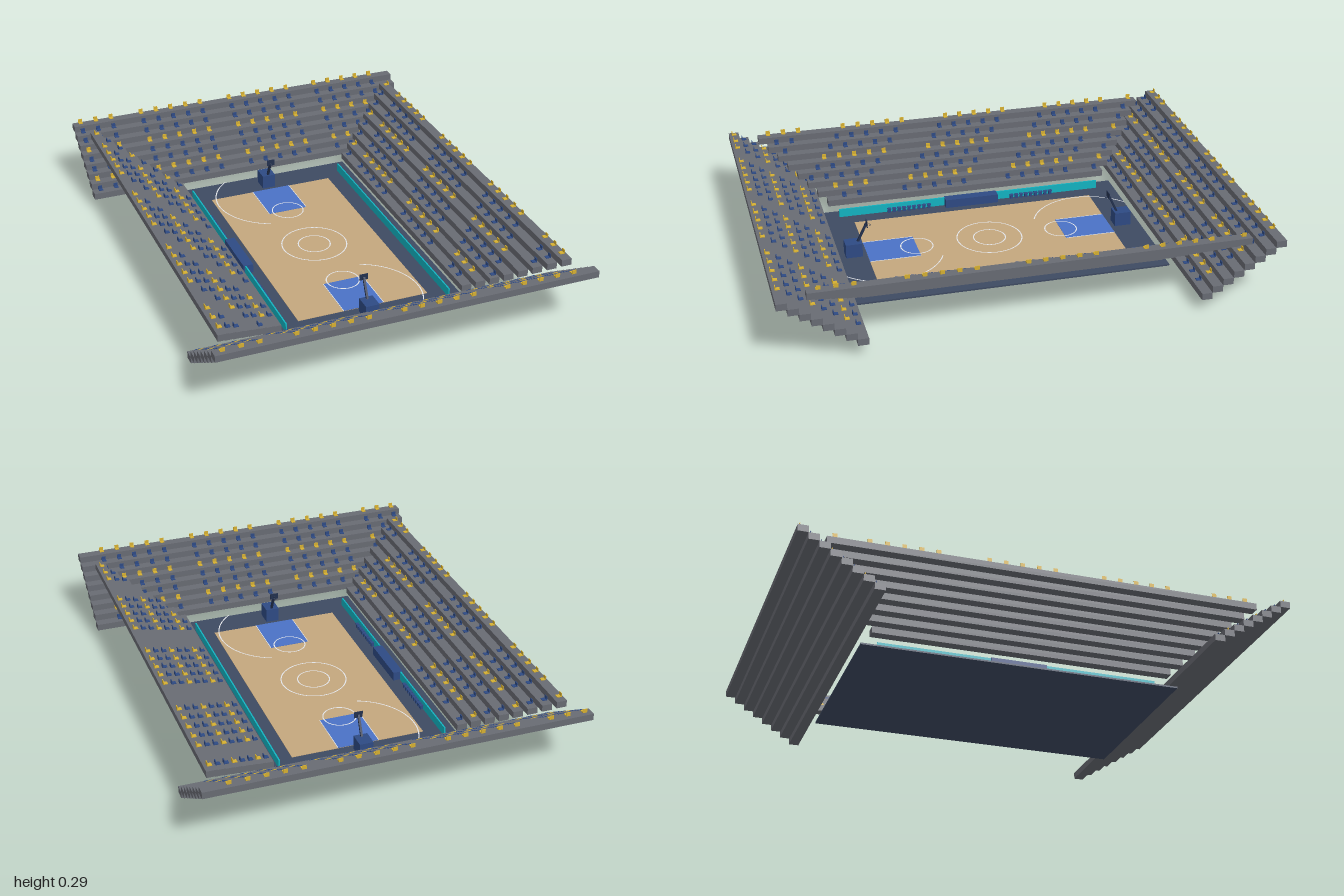
import * as THREE from 'three';
import { mergeGeometries } from 'three/addons/utils/BufferGeometryUtils.js';

const mat = (name, color, side = THREE.FrontSide) => {
  const m = new THREE.MeshStandardMaterial({ color, side });
  m.name = name;
  return m;
};

// Box geometry placed by its centre
const box = (w, h, d, x, y, z) => new THREE.BoxGeometry(w, h, d).translate(x, y, z);

// Seat facing +z: a pan and a thin upright back, standing on y = 0
const seat = (s = 0.018) => mergeGeometries([
  box(s, 0.003, s, 0, 0.0065, 0),
  box(s, s * 0.9, 0.003, 0, 0.005 + s * 0.45, -s / 2),
]);

const ROWS = 8, RISE = 0.0275, BASE = 0.045, PITCH = 0.0424;

export function createModel() {
  const model = new THREE.Group();
  model.name = 'basketballArena';
  const M = {
    concrete: mat('stand grey', 0x686b73),
    floor: mat('floor navy', 0x3e4a62),
    court: mat('court tan', 0xc4a77d),
    key: mat('key blue', 0x4a72c6),
    seat: mat('seat blue', 0x2e4a84),
    gold: mat('seat gold', 0xd6b032),
    teal: mat('board teal', 0x12b4c2),
    line: mat('line white', 0xe4e6ea, THREE.DoubleSide),
    dark: mat('arm dark blue', 0x22304e),
  };
  const add = (parent, name, geometry, material) => {
    const m = new THREE.Mesh(geometry, material);
    m.name = name;
    parent.add(m);
    return m;
  };

  // Floor and playing surface
  add(model, 'floor', box(0.81, 0.007, 1.324, 0, 0.0035, 0), M.floor);
  add(model, 'court', box(0.56, 0.003, 1.06, 0, 0.0075, 0), M.court);

  // Stepped stand built facing +z, its rows receding along -z from `start`
  function stand(name, start, halfLength, seatSpots) {
    const g = new THREE.Group();
    g.name = name;
    const steps = [], blue = [], gold = [];
    for (let i = 0; i < ROWS; i++) {
      const z = -(start + i * PITCH), y = BASE + i * RISE, half = halfLength(i);
      steps.push(box(half * 2, RISE, 0.0424, 0, y + RISE / 2, z));
      for (const x of seatSpots(half)) {
        (i % 3 === 1 ? gold : blue).push(seat().translate(x, y + RISE, z));
      }
    }
    add(g, 'steps', mergeGeometries(steps), M.concrete);
    add(g, 'blueSeats', mergeGeometries(blue), M.seat);
    add(g, 'goldSeats', mergeGeometries(gold), M.gold);
    model.add(g);
    return g;
  }

  // End stands: blocks of five seats with single aisles
  const endSpots = (sign) => () => {
    const out = [];
    for (let k = 0; k < 21; k++) if (k % 6 !== 3) out.push(sign * (-0.744 + k * 0.0708));
    return out;
  };
  stand('backStand', 0.682, () => 0.777, endSpots(1));
  stand('frontStand', 0.682, () => 0.777, endSpots(-1)).rotation.y = Math.PI;

  // Side stands: rows lengthen towards the top, with double aisles
  const sideSpots = (sign) => (half) => {
    const out = [], first = -half + 0.032;
    for (let k = 0; first + k * 0.0672 < half - 0.015; k++) {
      if (k === 0 || k % 7 > 1) out.push(sign * (first + k * 0.0672));
    }
    return out;
  };
  const sideHalf = (i) => 0.625 + i * 0.0362;
  stand('rightStand', 0.407, sideHalf, sideSpots(-1)).rotation.y = Math.PI / 2;
  stand('leftStand', 0.407, sideHalf, sideSpots(1)).rotation.y = -Math.PI / 2;

  // Flat ring or arc painted on the floor
  const ring = (r, z, a0 = 0, sweep = Math.PI * 2) =>
    new THREE.RingGeometry(r - 0.0025, r + 0.0025, 48, 1, a0, sweep)
      .rotateX(-Math.PI / 2).translate(0, 0.0115, z);
  add(model, 'centreCircles', mergeGeometries([ring(0.138, 0), ring(0.068, 0)]), M.line);

  // Each end: key, markings and hoop stand (built at +z, turned for the back)
  for (const [name, turn] of [['frontEnd', 0], ['backEnd', Math.PI]]) {
    const end = new THREE.Group();
    end.name = name;
    end.rotation.y = turn;
    add(end, 'key', box(0.17, 0.002, 0.215, 0, 0.0095, 0.4225), M.key);
    add(end, 'keyLines', mergeGeometries([
      box(0.003, 0.001, 0.215, -0.0865, 0.0105, 0.4225),
      box(0.003, 0.001, 0.215, 0.0865, 0.0105, 0.4225),
    ]), M.line);
    add(end, 'keyCircle', ring(0.068, 0.315), M.line);
    const arc = ring(0.252, 0.462, -0.9, 2.09).translate(0.017, 0, 0);
    add(end, 'longArc', arc, M.line);

    // Hoop stand
    add(end, 'hoopBase', box(0.058, 0.06, 0.07, 0, 0.037, 0.585), M.seat);
    const arm = new THREE.BoxGeometry(0.009, 0.1, 0.009);
    arm.rotateX(-0.45).translate(0, 0.1, 0.548);
    add(end, 'hoopArm', arm, M.dark);
    add(end, 'backboard', box(0.036, 0.026, 0.003, 0, 0.145, 0.525), M.dark);
    const rim = new THREE.TorusGeometry(0.007, 0.001, 5, 14);
    rim.rotateX(Math.PI / 2).translate(0, 0.137, 0.516);
    add(end, 'rim', rim, M.dark);
    model.add(end);
  }

  // Boards along both sidelines
  for (const [name, x] of [['rightBoard', -0.35], ['leftBoard', 0.35]]) {
    add(model, name, box(0.006, 0.037, 1.17, x, 0.0255, 0), M.teal);
  }

  // Officials' table and the two team benches
  add(model, 'officialsTable', box(0.042, 0.038, 0.235, -0.338, 0.026, -0.002), M.seat);
  const chairs = [];
  for (const side of [-1, 1]) {
    for (let k = 0; k < 9; k++) {
      chairs.push(seat(0.017).rotateY(Math.PI / 2)
        .translate(-0.341, 0.018, side * (0.188 + k * 0.0222)));
      chairs.push(box(0.012, 0.016, 0.012, -0.341, 0.015, side * (0.188 + k * 0.0222)));
    }
  }
  add(model, 'teamChairs', mergeGeometries(chairs), M.seat);

  return model;
}
